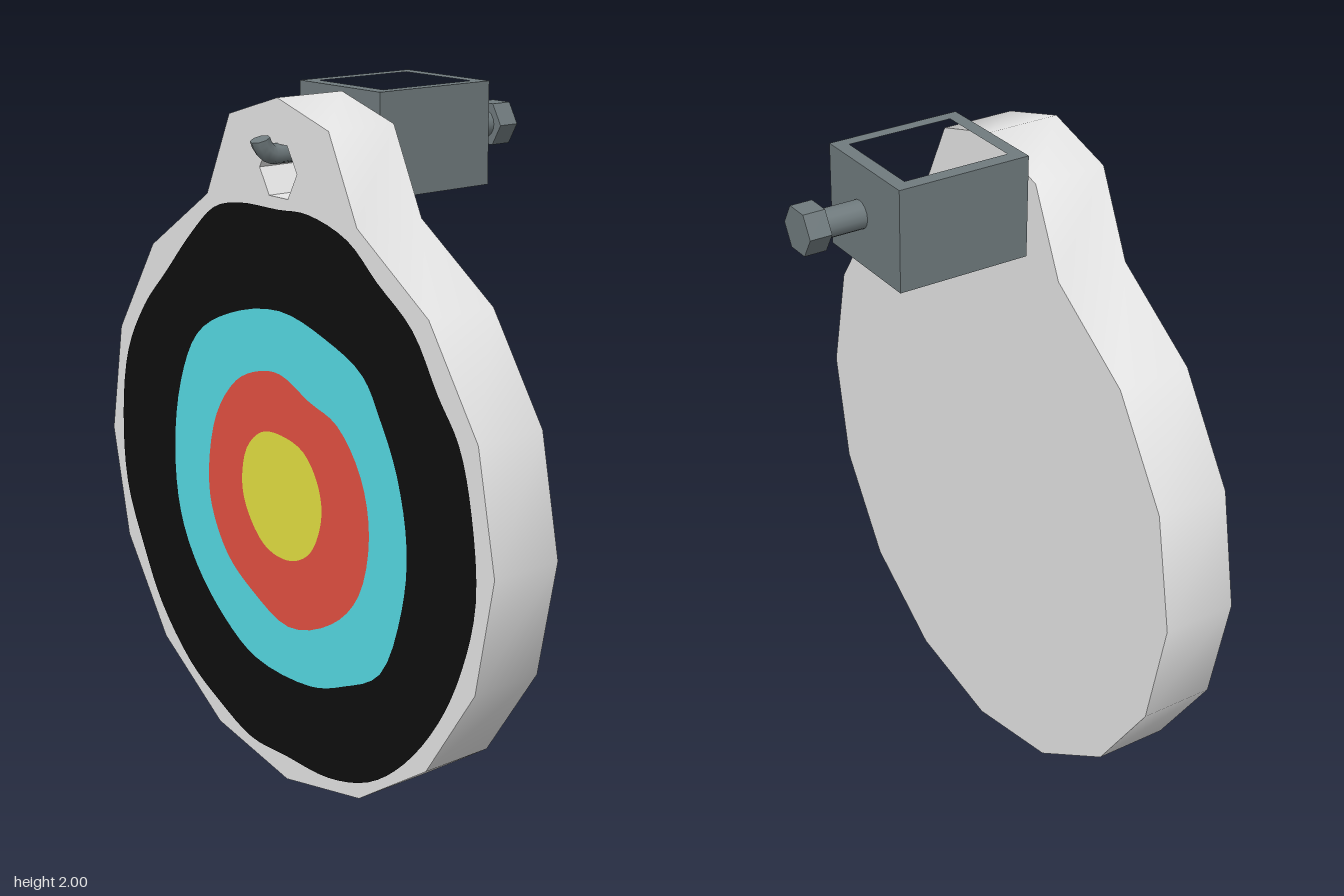
import * as THREE from 'three';
import { toCreasedNormals } from 'three/addons/utils/BufferGeometryUtils.js';

const mat = (name, color) => {
  const m = new THREE.MeshStandardMaterial({ color });
  m.name = name;
  return m;
};

export function createModel() {
  const group = new THREE.Group();
  const board = mat('pale grey', 0xe7e7e7);
  const steel = mat('steel grey', 0x707b7e);

  const add = (name, geometry, material, parent = group) => {
    const mesh = new THREE.Mesh(geometry, material);
    mesh.name = name;
    parent.add(mesh);
    return mesh;
  };
  const vec = (pairs) => pairs.map(([x, y]) => new THREE.Vector2(x, y));
  const hexagon = (cx, cy, r) => Array.from({ length: 6 }, (_, i) =>
    new THREE.Vector2(cx + r * Math.cos(i * Math.PI / 3), cy + r * Math.sin(i * Math.PI / 3)));

  // Board: sixteen-sided disc whose top corner is replaced by a hanging tab
  const outline = [];
  for (let i = -11; i <= 3; i++) {
    const a = i * Math.PI / 8;
    outline.push([0.875 * Math.cos(a), 0.88 + 0.875 * Math.sin(a)]);
  }
  outline.push([0.22, 1.925], [0, 1.99], [-0.22, 1.925]);
  // Shared corner order: start at the tab's left foot and run down around the disc
  const center = [0, 0.88];
  outline.sort((p, q) =>
    Math.atan2(p[1] - center[1], p[0]) - Math.atan2(q[1] - center[1], q[0]));
  const foot = [-0.875 * Math.sin(Math.PI / 8), 0.88 + 0.875 * Math.cos(Math.PI / 8)];
  const side = [[-0.875, 0.88], [-0.81, 1.215], [-0.62, 1.5]];
  const full = outline.filter(([x, y]) => !(x < -0.3 && y > 0.87));
  full.push(foot, ...side.slice().reverse());
  const boardShape = new THREE.Shape(vec(full));
  boardShape.holes.push(new THREE.Path(hexagon(0, 1.795, 0.083)));
  const boardGeo = new THREE.ExtrudeGeometry(boardShape, { depth: 0.22, bevelEnabled: false });
  boardGeo.translate(0, 0, 0.145);
  add('board', toCreasedNormals(boardGeo, 0.9), board);

  // Hand-painted rings, each with the next one cut out of it
  const rings = [
    ['blackRing', mat('black', 0x0e0e0e), [
      [0, 1.69], [0.13, 1.695], [0.3, 1.65], [0.42, 1.56], [0.56, 1.46], [0.66, 1.31], [0.74, 1.2],
      [0.79, 1.03], [0.81, 0.8], [0.76, 0.6], [0.67, 0.42], [0.53, 0.25], [0.38, 0.14], [0.2, 0.085],
      [0, 0.08], [-0.17, 0.08], [-0.33, 0.14], [-0.48, 0.22], [-0.63, 0.37], [-0.72, 0.53],
      [-0.8, 0.72], [-0.81, 0.95], [-0.77, 1.15], [-0.67, 1.31], [-0.55, 1.43], [-0.42, 1.56],
      [-0.3, 1.655], [-0.18, 1.685]]],
    ['blueRing', mat('turquoise', 0x57dee8), [
      [0, 1.41], [0.2, 1.37], [0.36, 1.3], [0.43, 1.2], [0.5, 1.06], [0.54, 0.87], [0.52, 0.69],
      [0.43, 0.48], [0.27, 0.39], [0.12, 0.34], [-0.14, 0.345], [-0.29, 0.42], [-0.43, 0.55],
      [-0.51, 0.7], [-0.53, 0.9], [-0.49, 1.11], [-0.4, 1.27], [-0.24, 1.36]]],
    ['redRing', mat('red', 0xe75243), [
      [0, 1.23], [0.13, 1.18], [0.25, 1.14], [0.35, 1.02], [0.385, 0.86], [0.34, 0.68], [0.22, 0.56],
      [0.02, 0.49], [-0.15, 0.55], [-0.27, 0.63], [-0.345, 0.76], [-0.355, 0.88], [-0.31, 1.05],
      [-0.21, 1.17], [-0.1, 1.22]]],
    ['bullseye', mat('yellow', 0xe7e343), [
      [0, 1.055], [0.1, 1.03], [0.16, 0.96], [0.18, 0.87], [0.14, 0.76], [0.08, 0.71], [0, 0.69],
      [-0.09, 0.71], [-0.165, 0.79], [-0.19, 0.87], [-0.165, 0.98], [-0.09, 1.045]]],
  ];
  const smooth = (pts) => {
    const s = new THREE.CatmullRomCurve3(pts.map(([x, y]) => new THREE.Vector3(x, y, 0)), true);
    return s.getPoints(pts.length * 4).slice(0, -1).map((p) => new THREE.Vector2(p.x, p.y));
  };
  const target = new THREE.Group();
  target.name = 'target';
  group.add(target);
  rings.forEach(([name, material, pts], i) => {
    const shape = new THREE.Shape(smooth(pts));
    if (rings[i + 1]) shape.holes.push(new THREE.Path(smooth(rings[i + 1][2])));
    add(name, new THREE.ShapeGeometry(shape), material, target).position.z = 0.368;
  });

  // Square sleeve, open at top and bottom
  const rect = (x0, x1, z0, z1) => vec([[x0, -z0], [x1, -z0], [x1, -z1], [x0, -z1]]);
  const sleeve = new THREE.Shape(rect(-0.2, 0.15, -0.26, 0.135));
  sleeve.holes.push(new THREE.Path(rect(-0.16, 0.115, -0.22, 0.095)));
  const sleeveGeo = new THREE.ExtrudeGeometry(sleeve, { depth: 0.29, bevelEnabled: false });
  sleeveGeo.rotateX(-Math.PI / 2).translate(0, 1.71, 0);
  add('sleeve', sleeveGeo, steel);

  // Clamping bolt at the back
  const shaft = new THREE.CylinderGeometry(0.04, 0.04, 0.14, 16).rotateX(Math.PI / 2);
  add('boltShaft', shaft, steel).position.set(0, 1.855, -0.32);
  const head = new THREE.ExtrudeGeometry(new THREE.Shape(hexagon(0, 0, 0.068)),
    { depth: 0.065, bevelEnabled: false });
  add('boltHead', head, steel).position.set(0, 1.855, -0.447);

  // Hook through the tab, with its tip bent upward
  const hookPath = new THREE.CurvePath();
  const p = (y, z) => new THREE.Vector3(0, y, z);
  hookPath.add(new THREE.LineCurve3(p(1.842, 0.08), p(1.842, 0.37)));
  hookPath.add(new THREE.QuadraticBezierCurve3(p(1.842, 0.37), p(1.842, 0.41), p(1.885, 0.423)));
  add('hook', new THREE.TubeGeometry(hookPath, 24, 0.028, 8), steel);
  const tip = new THREE.CircleGeometry(0.028, 8);
  const end = hookPath.getPoint(1);
  const cap = add('hookTip', tip, steel);
  cap.position.copy(end);
  cap.lookAt(end.clone().add(hookPath.getTangent(1)));
  const rear = add('hookRear', new THREE.CircleGeometry(0.028, 8), steel);
  rear.position.set(0, 1.842, 0.08);
  rear.rotation.y = Math.PI;

  return group;
}
